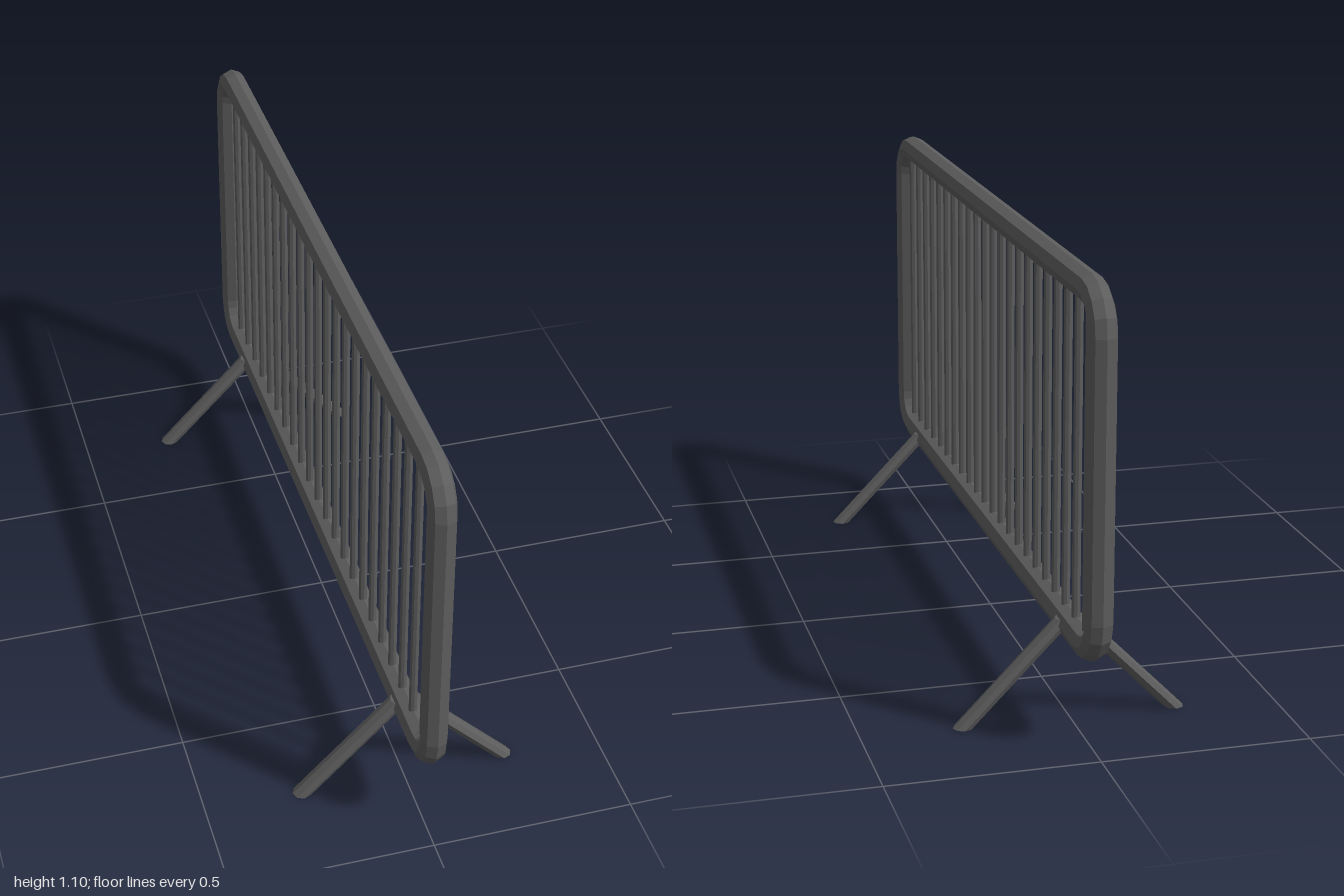
import * as THREE from 'three';

// Closed tube following a rounded rectangle in the yz plane
function roundedFrame(halfZ, bottom, top, bend, r, sides, steps) {
  const midY = (bottom + top) / 2;
  const cz = halfZ - bend - r, cy = (top - bottom) / 2 - bend - r;
  const corners = [[1, 1], [-1, 1], [-1, -1], [1, -1]];
  const pos = [], idx = [];
  corners.forEach(([sz, sy], q) => {
    for (let s = 0; s <= steps; s++) {
      const a = (q + s / steps) * Math.PI / 2;
      for (let j = 0; j < sides; j++) {
        const t = j / sides * Math.PI * 2;
        const d = bend + r * Math.cos(t);
        pos.push(r * Math.sin(t), midY + sy * cy + d * Math.sin(a), sz * cz + d * Math.cos(a));
      }
    }
  });
  const rings = 4 * (steps + 1);
  for (let i = 0; i < rings; i++) {
    for (let j = 0; j < sides; j++) {
      const i2 = (i + 1) % rings, j2 = (j + 1) % sides;
      const a = i * sides + j, b = i * sides + j2, c = i2 * sides + j, d = i2 * sides + j2;
      idx.push(a, b, c, b, d, c);
    }
  }
  const g = new THREE.BufferGeometry();
  g.setAttribute('position', new THREE.Float32BufferAttribute(pos, 3));
  g.setIndex(idx);
  g.computeVertexNormals();
  return g;
}

// Leg tube sheared sideways so its foot is cut level with the ground
function slantedLeg(side) {
  const h = 0.25;
  const g = new THREE.CylinderGeometry(0.024, 0.024, h, 8);
  g.translate(0, h / 2, 0);
  const p = g.attributes.position;
  for (let i = 0; i < p.count; i++) p.setX(i, p.getX(i) + side * (0.257 - 0.976 * p.getY(i)));
  g.computeVertexNormals();
  return g;
}

export function createModel() {
  const model = new THREE.Group();
  model.name = 'crowdBarrier';
  const steel = new THREE.MeshStandardMaterial({ color: 0x5c5c5c, flatShading: true });
  steel.name = 'dark grey steel';

  const add = (name, geometry, parent = model) => {
    const mesh = new THREE.Mesh(geometry, steel);
    mesh.name = name;
    parent.add(mesh);
    return mesh;
  };

  // Outer tube
  add('frame', roundedFrame(1, 0.203, 1.097, 0.085, 0.034, 8, 4));

  // Upright bars
  const bars = new THREE.Group();
  bars.name = 'bars';
  model.add(bars);
  const barGeometry = new THREE.CylinderGeometry(0.0105, 0.0105, 0.82, 8);
  const count = 22;
  for (let i = 0; i < count; i++) {
    add('bar', barGeometry, bars).position.set(0, 0.65, 0.892 - i * 1.764 / (count - 1));
  }

  // Splayed legs
  for (const side of [1, -1]) {
    const geometry = slantedLeg(side);
    for (const z of [0.745, -0.742]) {
      add((z > 0 ? 'front' : 'back') + (side > 0 ? 'Left' : 'Right') + 'Leg', geometry).position.z = z;
    }
  }
  return model;
}
